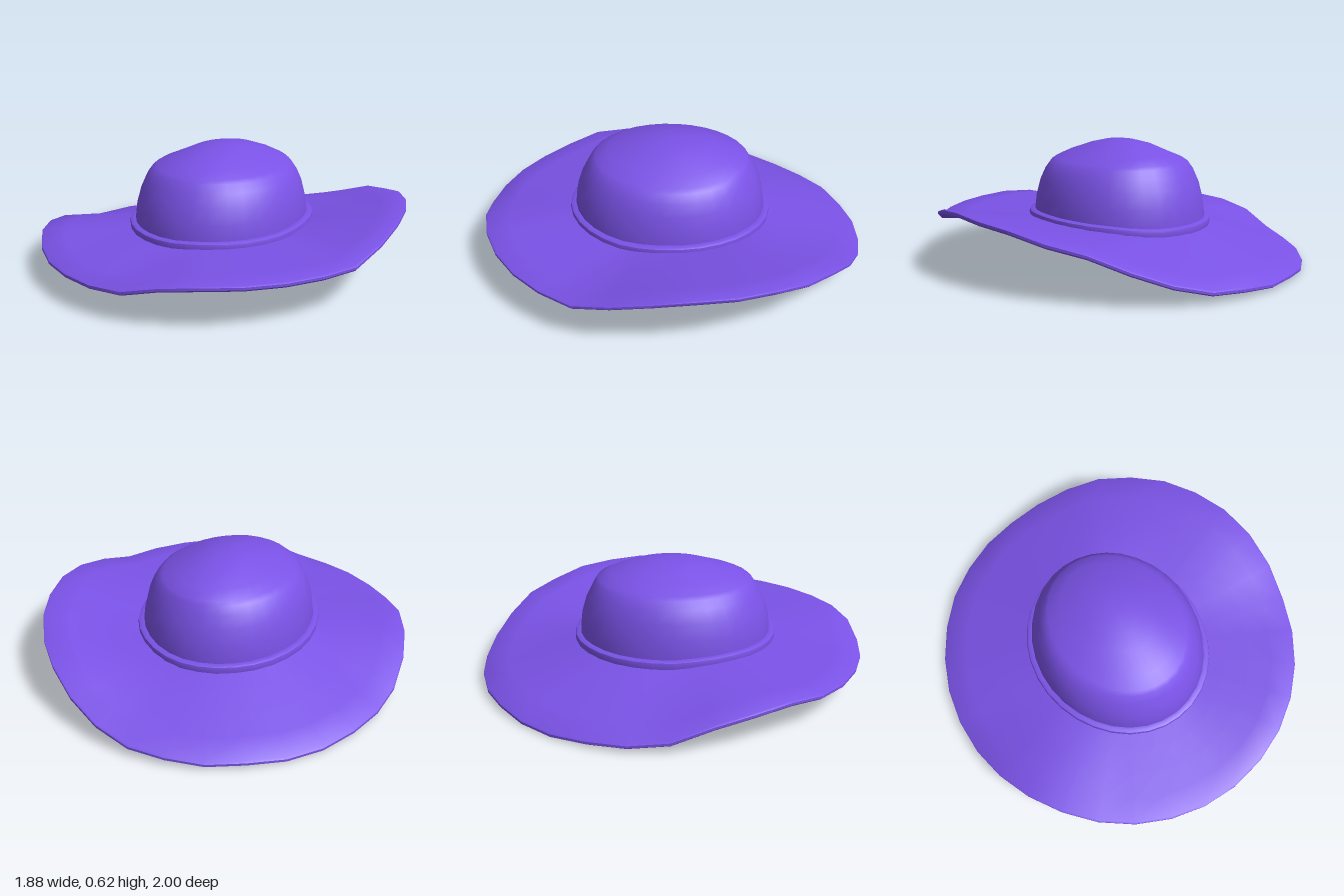
import * as THREE from 'three';
import { toCreasedNormals } from 'three/addons/utils/BufferGeometryUtils.js';

const SEGMENTS = 32;

// Underside height of the brim's rim, from the front (+z) round through +x
const RIM = [
  0.14, 0.185, 0.2, 0.2, 0.2, 0.2, 0.2, 0.255,
  0.3, 0.32, 0.31, 0.295, 0.255, 0.22, 0.15, 0.085,
  0.04, 0.03, 0.015, 0.018, 0.003, 0, 0.012, 0.02,
  0.045, 0.115, 0.15, 0.165, 0.14, 0.13, 0.13, 0.13,
];

// Height of the brim where it meets the crown: a faint echo of the rim's wave
const seat = (i) => 0.195 + 0.1 * (RIM[i] - 0.15);

// Point i of a horizontal ellipse
function oval(i, rx, rz, cx, cz, y) {
  const a = (i / SEGMENTS) * Math.PI * 2;
  return [cx + Math.sin(a) * rx, y, cz + Math.cos(a) * rz];
}

// Skin a list of rings, each a function from index to point
function loft(rings, crease) {
  const positions = [], index = [];
  rings.forEach((ring, j) => {
    for (let i = 0; i < SEGMENTS; i++) {
      positions.push(...ring(i));
      if (j === rings.length - 1) continue;
      const n = (i + 1) % SEGMENTS;
      const a = j * SEGMENTS + i, b = j * SEGMENTS + n;
      index.push(a, b, b + SEGMENTS, a, b + SEGMENTS, a + SEGMENTS);
    }
  });
  const geometry = new THREE.BufferGeometry();
  geometry.setAttribute('position', new THREE.Float32BufferAttribute(positions, 3));
  geometry.setIndex(index);
  return toCreasedNormals(geometry, crease);
}

// Ring on the brim: t runs from the crown opening (0) to the rim (1)
function brimRing(t, lift) {
  const mix = THREE.MathUtils.lerp;
  return (i) => oval(i, mix(0.435, 0.942, t), mix(0.495, 0.998, t),
    mix(-0.005, 0, t), mix(0.02, 0, t), mix(seat(i), RIM[i], t) + lift);
}

export function createModel() {
  const hat = new THREE.Group();
  hat.name = 'sunHat';
  const material = new THREE.MeshStandardMaterial({ color: 0x7a52e6, side: THREE.DoubleSide });
  const add = (name, geometry) => {
    const mesh = new THREE.Mesh(geometry, material);
    mesh.name = name;
    hat.add(mesh);
  };

  // Wavy brim: underside outward, thin rounded rim, top side back inward
  const steps = [0, 0.25, 0.5, 0.75, 0.985];
  add('brim', loft([
    ...steps.map((t) => brimRing(t, 0)),
    brimRing(1, 0.008),
    brimRing(1, 0.02),
    ...[...steps].reverse().map((t) => brimRing(t, 0.025)),
  ], 0.7));

  // Domed crown, open below: height, x radius, z radius, z centre
  const crown = [
    [0.25, 0.438, 0.5, 0.02], [0.33, 0.428, 0.49, 0.02],
    [0.41, 0.408, 0.465, 0.018], [0.47, 0.382, 0.435, 0.017],
    [0.51, 0.352, 0.411, 0.015], [0.527, 0.325, 0.395, 0.012],
    [0.558, 0.25, 0.335, 0.01], [0.598, 0.16, 0.205, 0],
    [0.619, 0.08, 0.105, 0], [0.626, 0.001, 0.001, 0],
  ];
  add('crown', loft([
    (i) => oval(i, 0.438, 0.5, -0.005, 0.02, seat(i)),
    ...crown.map(([y, rx, rz, cz]) => (i) => oval(i, rx, rz, -0.005, cz, y)),
  ], 0.7));

  // Raised band round the foot of the crown: offset from crown, lift from brim
  const band = [[0.027, 0.015], [0.03, 0.035], [0.027, 0.048], [0.016, 0.054], [-0.004, 0.054]];
  add('band', loft(band.map(([out, lift]) =>
    (i) => oval(i, 0.438 + out, 0.5 + out, -0.005, 0.02, seat(i) + lift)), 0.6));

  return hat;
}
